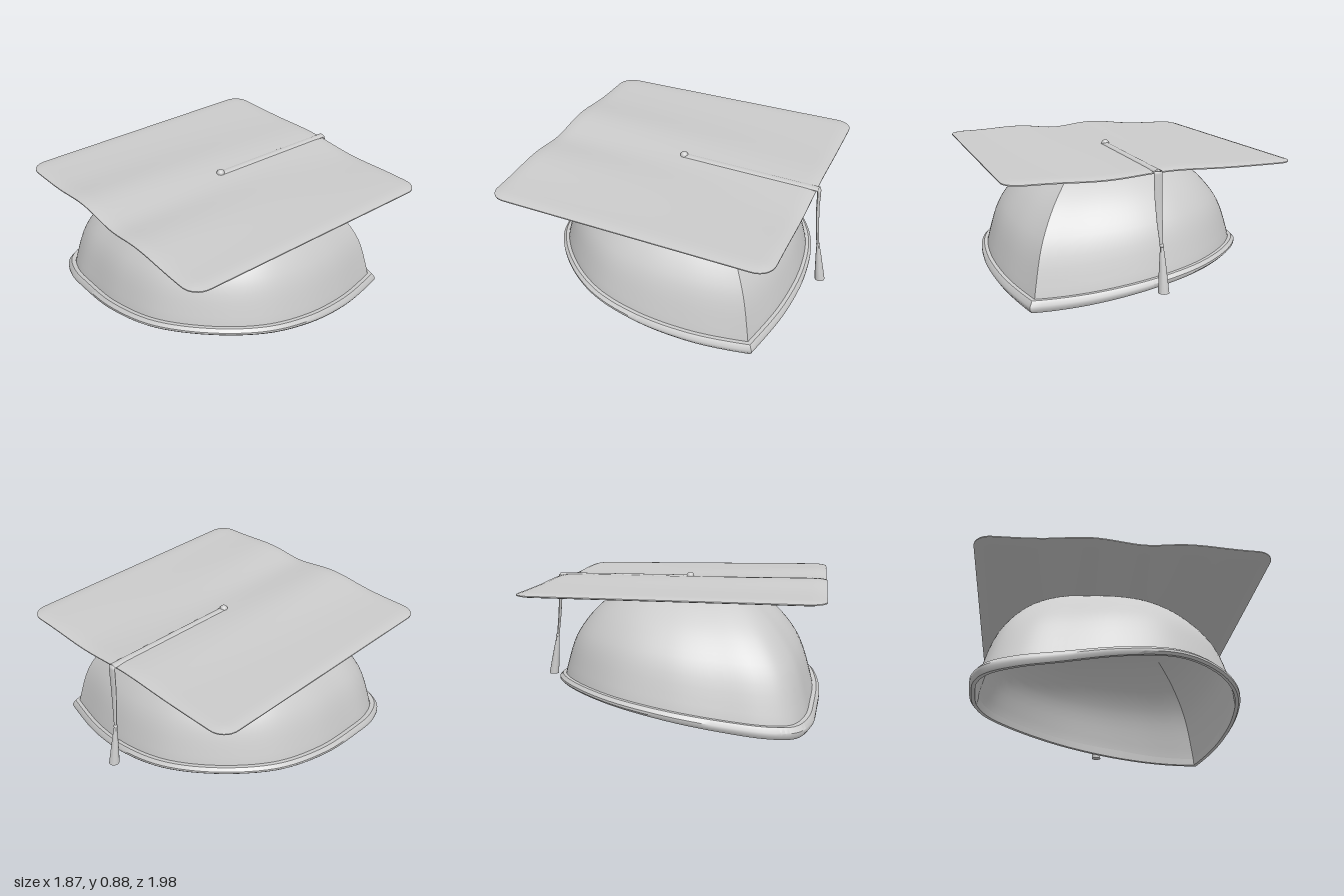
import * as THREE from 'three';
import { toCreasedNormals } from 'three/addons/utils/BufferGeometryUtils.js';

const V = (x, y, z) => new THREE.Vector3(x, y, z);
const material = new THREE.MeshStandardMaterial({ color: 0xcccccc, side: THREE.DoubleSide });

function addMesh(group, name, geometry) {
  const mesh = new THREE.Mesh(geometry, material);
  mesh.name = name;
  group.add(mesh);
  return mesh;
}

// Skin a list of equally long point rings
function loft(rings) {
  const n = rings[0].length;
  const index = [];
  for (let i = 0; i < rings.length - 1; i++) {
    for (let j = 0; j < n - 1; j++) {
      const a = i * n + j, b = a + n;
      index.push(a, b, a + 1, b, b + 1, a + 1);
    }
  }
  const geometry = new THREE.BufferGeometry().setFromPoints(rings.flat());
  geometry.setIndex(index);
  geometry.computeVertexNormals();
  return geometry;
}

// Horizontal ellipse ring
function ellipse(x, y, z, rx, rz, n = 20) {
  return Array.from({ length: n + 1 }, (_, i) => {
    const a = (i / n) * Math.PI * 2;
    return V(x + rx * Math.cos(a), y, z + rz * Math.sin(a));
  });
}

// Head outline: u runs toward the creased corner, v across; half is mirrored
const half = [[1.075, 0], [0.85, 0.36], [0.61, 0.63], [0.34, 0.81], [0, 0.88], [-0.38, 0.83],
  [-0.7, 0.63], [-0.95, 0.37], [-1.11, 0.17], [-1.17, 0]];
const outlinePoints = [...half, ...half.slice(0, -1).reverse().map(([u, v]) => [u, -v])]
  .map(([u, v]) => V(u, 0, v));
const outline = new THREE.CatmullRomCurve3(outlinePoints).getPoints(112);

// Rim is low at the corner and its opposite end, high at both sides
const sideways = (v) => Math.min(1, Math.abs(v) / 0.88) ** 1.5;
const rimHeight = (v) => 0.005 + 0.168 * sideways(v);
const bandHeight = (v) => 0.075 - 0.028 * sideways(v);

// Ring of the outline, scaled, with height from a function of v
function capRing(scale, height) {
  return outline.map((p) => {
    const u = p.x * scale, v = p.z * scale + 0.015;
    return V((u + v) * Math.SQRT1_2, height(p.z), (v - u) * Math.SQRT1_2);
  });
}

// Gentle ripple of the board, strongest along the front edge
function boardHeight(x, z) {
  const bump = (c, w) => Math.exp(-(((x - c) / w) ** 2));
  const front = 0.032 * bump(-0.22, 0.23) - 0.01 * bump(0.13, 0.15) + 0.022 * bump(0.4, 0.25);
  const back = 0.012 * bump(-0.1, 0.25) - 0.014 * bump(0.35, 0.25);
  const tilt = 0.014 * z * (x + 0.93) / 1.86;
  return 0.834 + THREE.MathUtils.lerp(back, front, (z + 0.88) / 1.86) + tilt;
}

function makeBoard() {
  const half = 0.93, radius = 0.11, inner = half - radius;
  const geometry = new THREE.BoxGeometry(half * 2, 0.028, half * 2, 60, 2, 60);
  const pos = geometry.attributes.position;
  for (let i = 0; i < pos.count; i++) {
    let x = pos.getX(i), z = pos.getZ(i);
    // thin out toward the edge
    const edge = Math.min(1, (half - Math.max(Math.abs(x), Math.abs(z))) / 0.07);
    const y = pos.getY(i) * (0.25 + 0.75 * Math.sqrt(Math.max(0, edge)));
    // round the corners
    const dx = Math.abs(x) - inner, dz = Math.abs(z) - inner;
    if (dx > 0 && dz > 0) {
      const k = Math.max(dx, dz) / Math.hypot(dx, dz);
      x = Math.sign(x) * (inner + dx * k);
      z = Math.sign(z) * (inner + dz * k);
    }
    z += 0.05;
    pos.setXYZ(i, x, y + boardHeight(x, z), z);
  }
  geometry.computeVertexNormals();
  return geometry;
}

export function createModel() {
  const group = new THREE.Group();

  // Dome with one sharp crease at the seam of the outline
  const profile = new THREE.CatmullRomCurve3([[0.96, 0], [0.935, 0.14], [0.86, 0.44], [0.745, 0.66],
    [0.625, 0.81], [0.5, 0.92], [0.37, 0.98], [0.2, 1], [0, 1]].map(([s, h]) => V(s, h, 0)));
  addMesh(group, 'capDome', loft(profile.getPoints(32).map(({ x: s, y: h }) =>
    capRing(s, (v) => THREE.MathUtils.lerp(rimHeight(v) + 0.02, 0.822, h)))));

  // Band around the opening: [scale, fraction of the band height]
  const band = [[0.96, 0.05], [0.985, 0], [1, 0.3], [1, 0.6], [0.978, 1], [0.95, 1], [0.96, 0.05]];
  addMesh(group, 'headBand', toCreasedNormals(
    loft(band.map(([s, f]) => capRing(s, (v) => rimHeight(v) + f * bandHeight(v)))), 0.7));

  addMesh(group, 'board', makeBoard());

  // Button and the cord lying across the board
  const button = addMesh(group, 'button', new THREE.SphereGeometry(0.027, 20, 14));
  button.position.set(0, boardHeight(0, 0.05) + 0.014, 0.05);

  const cordRings = [];
  for (let i = 0; i <= 24; i++) {
    const z = THREE.MathUtils.lerp(0.05, -0.895, i / 24);
    const x = THREE.MathUtils.lerp(0, 0.018, i / 24);
    cordRings.push(ellipse(0, 0, 0, 0.026, 0.012, 16)
      .map((p) => V(x + p.x, boardHeight(x, z) + 0.01 + p.z, z)));
  }
  addMesh(group, 'topCord', loft(cordRings));

  // Hanging cord: [x, y, z, half width, half depth]
  const hanging = [[0.018, 0.846, -0.89, 0.001, 0.001], [0.018, 0.846, -0.893, 0.026, 0.012],
    [0.018, 0.83, -0.897, 0.028, 0.011], [0.016, 0.7, -0.9, 0.026, 0.009],
    [0.01, 0.55, -0.91, 0.02, 0.009], [0.002, 0.4, -0.925, 0.01, 0.009]];
  addMesh(group, 'hangingCord', loft(hanging.map((s) => ellipse(...s))));

  // Knot and flared tassel
  const knot = addMesh(group, 'tasselKnot', new THREE.SphereGeometry(0.014, 16, 10));
  knot.position.set(0, 0.4, -0.926);
  const tassel = [[0, 0.4, -0.926, 0.01, 0.01], [0, 0.32, -0.937, 0.018, 0.018],
    [0, 0.2, -0.953, 0.028, 0.028], [0, 0.115, -0.965, 0.034, 0.034], [0, 0.11, -0.965, 0, 0]];
  addMesh(group, 'tassel', toCreasedNormals(loft(tassel.map((s) => ellipse(...s))), 0.8));

  return group;
}
